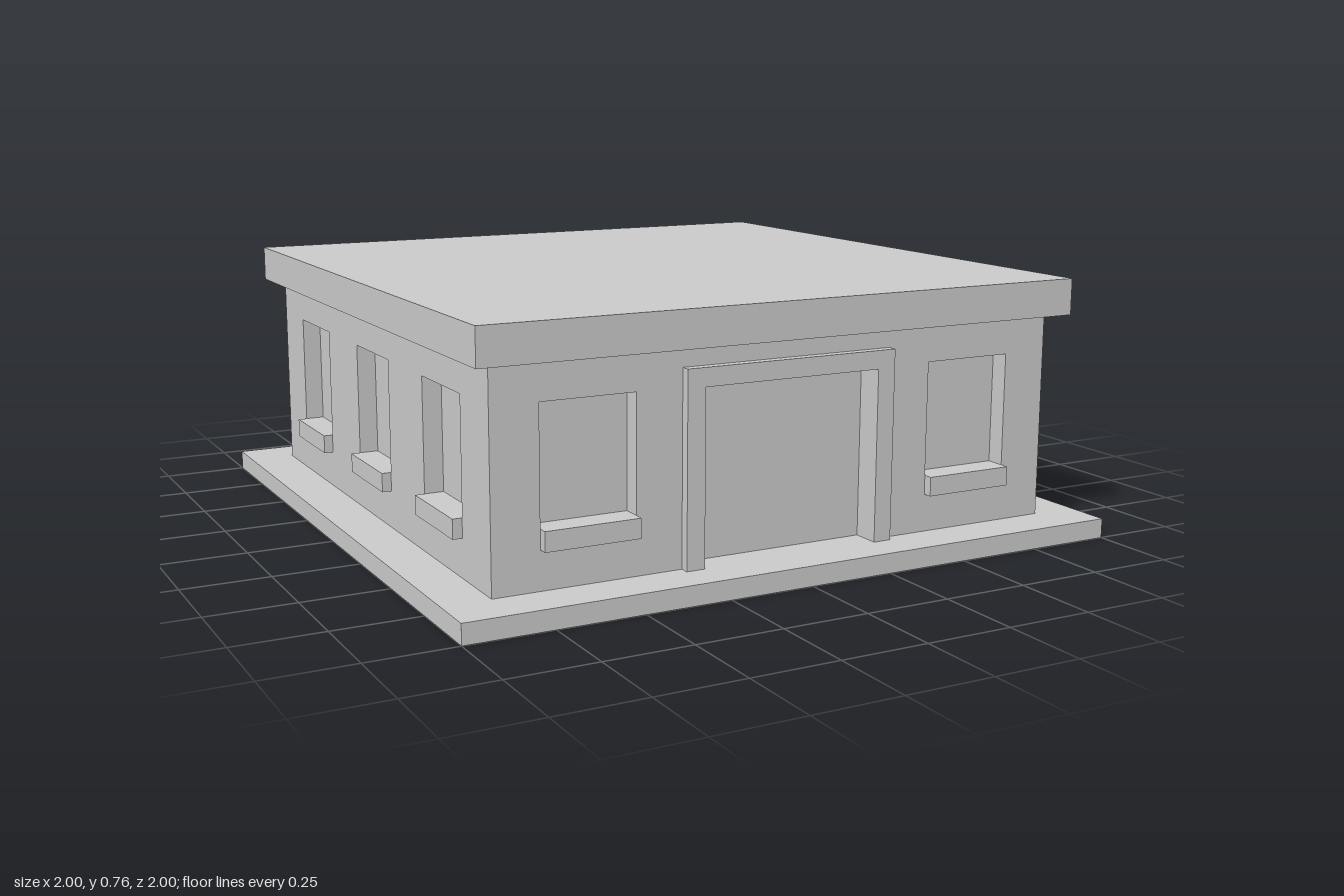
import * as THREE from 'three';

const material = new THREE.MeshStandardMaterial({ color: 0xcccccc, flatShading: true });

const BASE = 0.057, WALL_TOP = 0.652, ROOF_TOP = 0.757; // levels
const OUT = 0.865, IN = 0.81, PROUD = 0.892;            // wall face, recess face, trim face
const WIN = { half: 0.136, bottom: 0.165, sill: 0.22, top: 0.545 };
const DOOR = { half: 0.27, top: 0.545, frameHalf: 0.324, frameTop: 0.597 };

function add(parent, name, geometry, x = 0, y = 0, z = 0) {
  const mesh = new THREE.Mesh(geometry, material);
  mesh.name = name;
  mesh.position.set(x, y, z);
  parent.add(mesh);
  return mesh;
}

function slab(parent, name, width, y0, y1) {
  add(parent, name, new THREE.BoxGeometry(width, y1 - y0, width), 0, (y0 + y1) / 2, 0);
}

// Closed outline from corner points
function outline(points, Type = THREE.Shape) {
  return new Type(points.map(([x, y]) => new THREE.Vector2(x, y)));
}

function extrude(shape, depth) {
  return new THREE.ExtrudeGeometry(shape, { depth, bevelEnabled: false });
}

// One wall facing +z, with window openings, sills and an optional doorway
function wall(name, half, windows, hasDoor) {
  const group = new THREE.Group();
  group.name = name;
  const notch = hasDoor
    ? [[-DOOR.half, BASE], [-DOOR.half, DOOR.top], [DOOR.half, DOOR.top], [DOOR.half, BASE]]
    : [];
  const shape = outline([[-half, BASE], ...notch, [half, BASE], [half, WALL_TOP], [-half, WALL_TOP]]);

  for (const x of windows) {
    const l = x - WIN.half, r = x + WIN.half;
    shape.holes.push(outline([[l, WIN.bottom], [l, WIN.top], [r, WIN.top], [r, WIN.bottom]], THREE.Path));
    add(group, 'windowSill',
      new THREE.BoxGeometry(2 * WIN.half, WIN.sill - WIN.bottom, PROUD - IN),
      x, (WIN.sill + WIN.bottom) / 2, (PROUD + IN) / 2);
  }
  add(group, 'wallPanel', extrude(shape, OUT - IN), 0, 0, IN);

  // Raised surround along the jambs and head of the doorway
  if (hasDoor) {
    const { frameHalf: f, frameTop: t } = DOOR;
    const frame = outline([[-f, BASE], ...notch, [f, BASE], [f, t], [-f, t]]);
    add(group, 'doorFrame', extrude(frame, PROUD - OUT), 0, 0, OUT);
  }
  return group;
}

export function createModel() {
  const model = new THREE.Group();
  model.name = 'building';

  slab(model, 'basePlate', 2, 0, BASE);
  slab(model, 'innerCore', 2 * IN, BASE, WALL_TOP); // closes the recesses
  slab(model, 'roof', 1.834, WALL_TOP, ROOF_TOP);

  // Front, right, back and left walls
  const three = [-0.541, 0, 0.541];
  const walls = [
    wall('frontWall', OUT, [-0.594, 0.594], true),
    wall('sideWall', IN, three, false),
    wall('backWall', OUT, three, false),
    wall('sideWall', IN, three, false),
  ];
  walls.forEach((w, i) => {
    w.rotation.y = i * Math.PI / 2;
    model.add(w);
  });
  return model;
}
